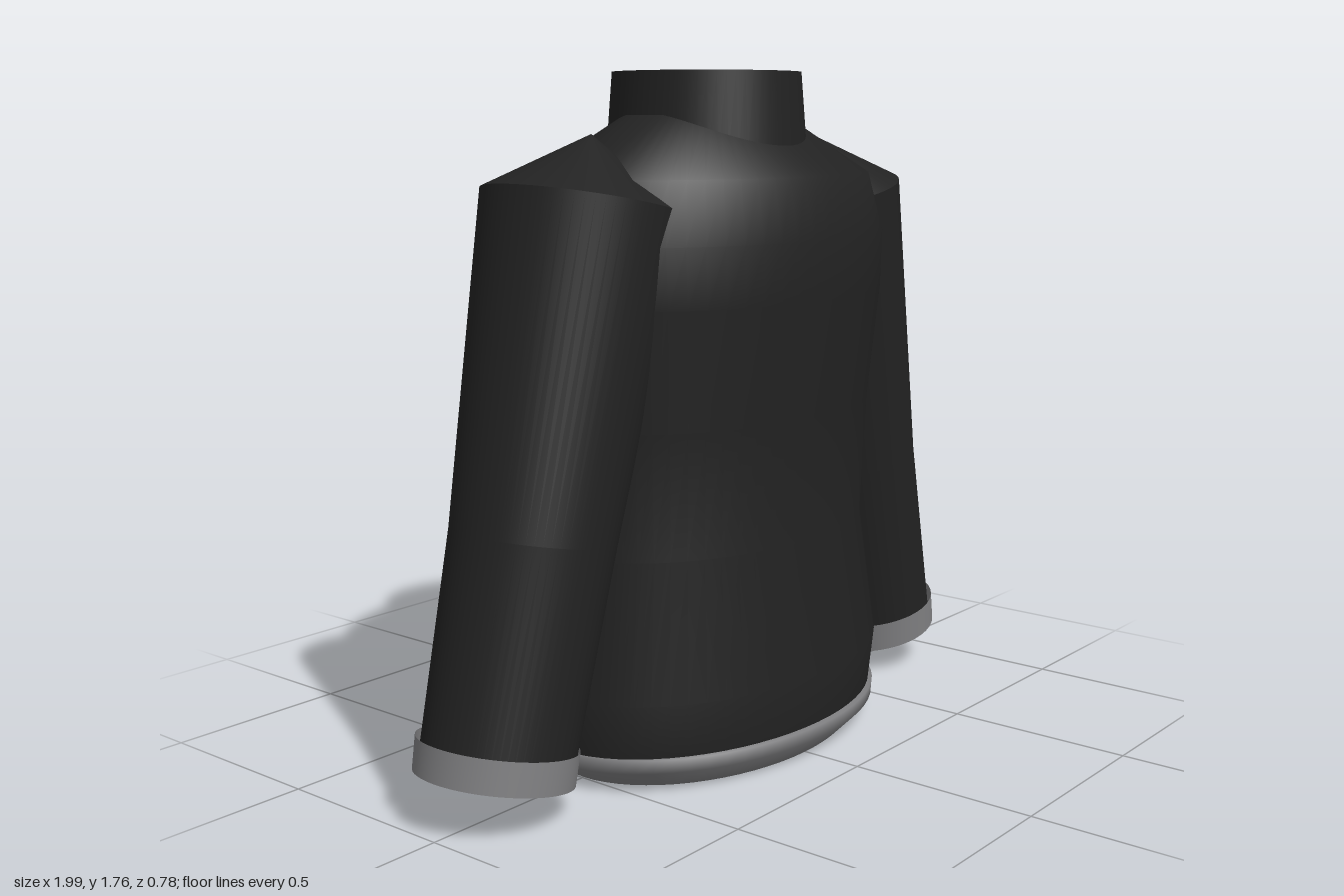
import * as THREE from 'three';

const SEGMENTS = 64;

// Smooth open tube through elliptical rings, listed from bottom to top.
// Each ring: [centre x, centre y, radius x, radius z, tilt about z]
function loft(rings) {
  const positions = [], index = [];
  for (const [cx, cy, rx, rz, tilt = 0] of rings) {
    for (let i = 0; i < SEGMENTS; i++) {
      const a = (i / SEGMENTS) * Math.PI * 2;
      const u = rx * Math.cos(a);
      positions.push(cx + u * Math.cos(tilt), cy + u * Math.sin(tilt), rz * Math.sin(a));
    }
  }
  for (let r = 0; r < rings.length - 1; r++) {
    for (let i = 0; i < SEGMENTS; i++) {
      const a = r * SEGMENTS + i, b = r * SEGMENTS + (i + 1) % SEGMENTS;
      index.push(a, a + SEGMENTS, b, b, a + SEGMENTS, b + SEGMENTS);
    }
  }
  const geometry = new THREE.BufferGeometry();
  geometry.setAttribute('position', new THREE.Float32BufferAttribute(positions, 3));
  geometry.setIndex(index);
  geometry.computeVertexNormals();
  return geometry;
}

export function createModel() {
  const group = new THREE.Group();
  group.name = 'sweater';
  const black = new THREE.MeshStandardMaterial({ name: 'black knit', color: 0x222222, side: THREE.DoubleSide });
  const grey = new THREE.MeshStandardMaterial({ name: 'grey trim', color: 0x808082, side: THREE.DoubleSide });

  const add = (name, rings, material) => {
    const mesh = new THREE.Mesh(loft(rings), material);
    mesh.name = name;
    group.add(mesh);
  };

  // Body, open at the hem and at the neck
  add('torso', [
    [0, 0.09, 0.565, 0.375],
    [0, 0.23, 0.58, 0.39],
    [0, 0.58, 0.53, 0.345],
    [0, 0.9, 0.545, 0.36],
    [0, 1.2, 0.58, 0.39],
    [0, 1.35, 0.59, 0.39],
    [0, 1.505, 0.54, 0.355],
    [0, 1.655, 0.265, 0.165],
  ], black);

  // Collar
  add('collar', [
    [0, 1.56, 0.26, 0.262],
    [0, 1.765, 0.245, 0.245],
  ], black);

  // Hem band with its dark inner face
  add('hem', [
    [0, 0, 0.495, 0.335],
    [0, 0.055, 0.568, 0.388],
    [0, 0.09, 0.572, 0.39],
    [0, 0.092, 0.56, 0.37],
  ], grey);
  add('hemLining', [
    [0, 0.001, 0.49, 0.33],
    [0, 0.055, 0.555, 0.37],
    [0, 0.09, 0.56, 0.37],
  ], black);

  // Sleeves, shoulder caps and cuffs, mirrored
  for (const [side, s] of [['left', 1], ['right', -1]]) {
    const mirrored = (rings) => rings.map(([x, y, rx, rz, tilt]) => [s * x, y, rx, rz, s * tilt]);
    add(side + 'Sleeve', mirrored([
      [0.803, 0.105, 0.186, 0.186, 0.21],
      [0.66, 0.66, 0.203, 0.203, 0.19],
      [0.47, 1.45, 0.255, 0.245, 0.2],
    ]), black);
    add(side + 'ShoulderCap', mirrored([
      [0.47, 1.45, 0.255, 0.245, 0.2],
      [0.44, 1.61, 0.001, 0.001, 0.2],
    ]), black);
    add(side + 'Cuff', mirrored([
      [0.805, 0.1, 0.196, 0.196, 0.21],
      [0.79, 0.182, 0.198, 0.198, 0.21],
    ]), grey);
  }

  return group;
}
